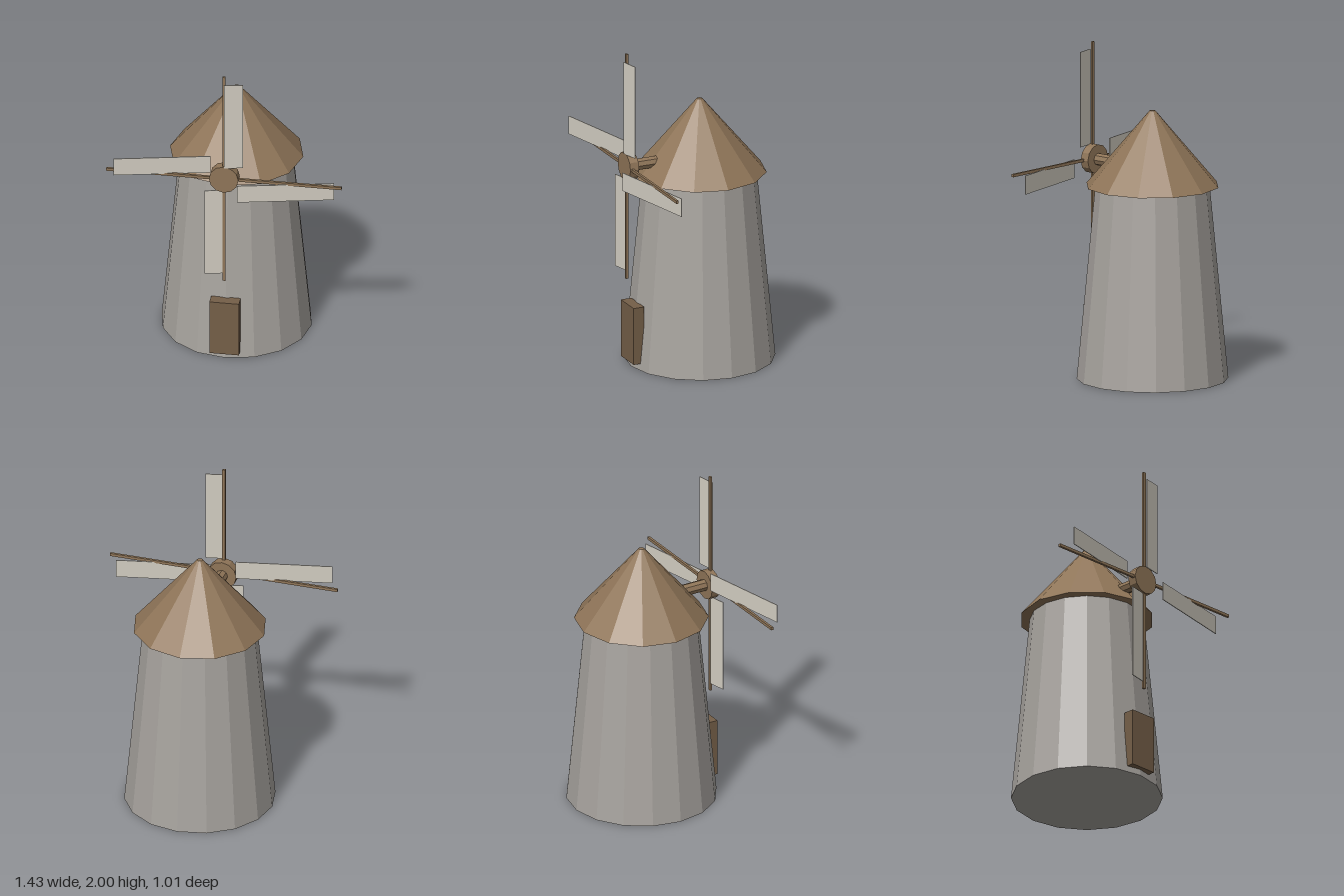
import * as THREE from 'three';

const mat = (color, side = THREE.FrontSide) =>
  new THREE.MeshStandardMaterial({ color, flatShading: true, side });

function add(parent, name, geometry, material, x = 0, y = 0, z = 0) {
  const mesh = new THREE.Mesh(geometry, material);
  mesh.name = name;
  mesh.position.set(x, y, z);
  parent.add(mesh);
  return mesh;
}

export function createModel() {
  const model = new THREE.Group();
  model.name = 'windmill';
  const stone = mat(0xa8a49f);
  const wood = mat(0x8f7558);
  const darkWood = mat(0x755f48);
  const cloth = mat(0xd2cdc2);

  // Tapered tower and conical cap, set slightly back
  const bodyZ = -0.051;
  add(model, 'tower', new THREE.CylinderGeometry(0.343, 0.457, 1.2, 16), stone, 0, 0.6, bodyZ);
  add(model, 'roof', new THREE.CylinderGeometry(0.017, 0.406, 0.46, 12), wood, 0, 1.413, bodyZ);
  add(model, 'door', new THREE.BoxGeometry(0.18, 0.36, 0.07), darkWood, 0, 0.22, 0.395);

  // Rotor: shaft, hub, four spars and four pitched sails
  const rotor = new THREE.Group();
  rotor.name = 'rotor';
  rotor.position.y = 1.283;
  model.add(rotor);

  const shaft = new THREE.CylinderGeometry(0.037, 0.037, 0.3, 8).rotateX(Math.PI / 2);
  add(rotor, 'shaft', shaft, wood, 0, 0, 0.26);
  const hub = new THREE.CylinderGeometry(0.09, 0.09, 0.058, 12).rotateX(Math.PI / 2);
  add(rotor, 'hub', hub, wood, 0, 0, 0.422);

  for (let i = 0; i < 4; i++) {
    const angle = -i * Math.PI / 2;
    const c = Math.cos(angle), s = Math.sin(angle);
    // Turn a position in the upright arm's frame to this arm
    const place = (x, y) => [x * c - y * s, x * s + y * c];

    const spar = add(rotor, 'spar', new THREE.BoxGeometry(0.018, 0.717, 0.015), wood,
      ...place(0, 0.3585), 0.435);
    spar.rotation.z = angle;

    // Every sail is pitched about the vertical axis
    const sail = add(rotor, 'sail', new THREE.BoxGeometry(0.115, 0.585, 0.005), cloth,
      ...place(0.06, 0.377), 0.443);
    sail.rotation.set(0, 0.21, angle);
  }
  return model;
}
